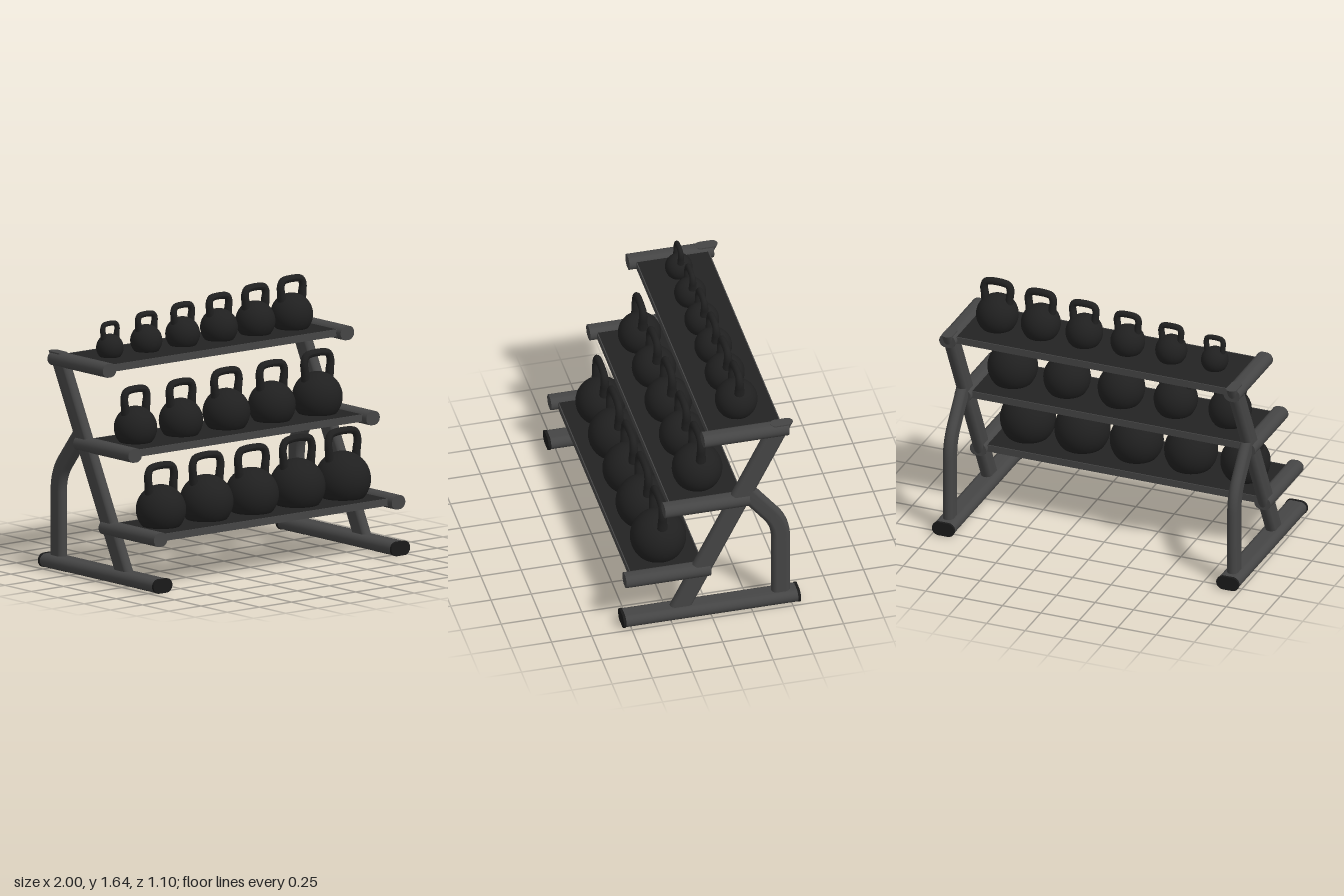
import * as THREE from 'three';

const flat = (name, color) => {
  const m = new THREE.MeshStandardMaterial({ color });
  m.name = name;
  return m;
};

// Sweep a rounded section (half width a in x, half width b across the path)
// along [z, y] points. levelCut keeps the ends horizontal.
function sweep(path, a, b, levelCut = false) {
  const N = 24, pos = [], idx = [], r = Math.min(a, b);
  const rings = path.map(([z, y], i) => {
    const p = path[Math.max(i - 1, 0)], q = path[Math.min(i + 1, path.length - 1)];
    const len = Math.hypot(q[0] - p[0], q[1] - p[1]);
    const az = levelCut ? -1 : -(q[1] - p[1]) / len;
    const ay = levelCut ? 0 : (q[0] - p[0]) / len;
    const ring = [];
    for (let j = 0; j < N; j++) {
      const t = ((j + 0.5) / N) * Math.PI * 2, c = Math.cos(t), s = Math.sin(t);
      const u = c * r + Math.sign(c) * (a - r), v = s * r + Math.sign(s) * (b - r);
      ring.push([u, y + v * ay, z + v * az]);
    }
    return ring;
  });
  rings.forEach((ring, i) => {
    ring.forEach((p) => pos.push(...p));
    if (i === 0) return;
    for (let j = 0; j < N; j++) {
      const k = (j + 1) % N, lo = (i - 1) * N, hi = i * N;
      idx.push(lo + j, lo + k, hi + j, lo + k, hi + k, hi + j);
    }
  });
  // flat end caps with their own vertices
  [rings[0], rings[rings.length - 1]].forEach((ring, end) => {
    const o = pos.length / 3;
    ring.forEach((p) => pos.push(...p));
    for (let j = 1; j < N - 1; j++) idx.push(o, o + (end ? j : j + 1), o + (end ? j + 1 : j));
  });
  const g = new THREE.BufferGeometry();
  g.setAttribute('position', new THREE.Float32BufferAttribute(pos, 3));
  g.setIndex(idx);
  g.computeVertexNormals();
  return g;
}

export function createModel() {
  const model = new THREE.Group();
  model.name = 'kettlebellRack';
  const steel = flat('frame grey', 0x454545);
  const iron = flat('cast iron black', 0x202020);
  const sheet = flat('shelf black', 0x232323);
  const rubber = flat('rubber black', 0x1a1a1a);

  const add = (parent, name, geometry, material, x = 0, y = 0, z = 0) => {
    const m = new THREE.Mesh(geometry, material);
    m.name = name;
    m.position.set(x, y, z);
    parent.add(m);
    return m;
  };

  // Each tier: shelf arm centre height, arm front z, and [ball radius, height] of each bell
  const tiers = [
    { name: 'lower', y: 0.325, front: 0.528, bells: [[0.152, 0.389], [0.163, 0.41], [0.163, 0.41], [0.17, 0.426], [0.17, 0.426]] },
    { name: 'middle', y: 0.805, front: 0.286, bells: [[0.131, 0.342], [0.134, 0.342], [0.144, 0.367], [0.144, 0.367], [0.153, 0.389]] },
    { name: 'upper', y: 1.29, front: 0.043, bells: [[0.083, 0.216], [0.097, 0.242], [0.105, 0.264], [0.114, 0.285], [0.121, 0.306], [0.129, 0.322]] },
  ];

  // Side frames
  const bend = new THREE.QuadraticBezierCurve(
    new THREE.Vector2(-0.44, 0.48), new THREE.Vector2(-0.44, 0.586), new THREE.Vector2(-0.38, 0.663));
  const legPath = [[-0.44, 0.05], ...bend.getPoints(8).map((p) => [p.x, p.y]), [-0.22, 0.865]];
  const baseGeo = sweep([[-0.54, 0.045], [0.54, 0.045]], 0.07, 0.041);
  const capGeo = sweep([[-0.008, 0.045], [0.008, 0.045]], 0.073, 0.044);
  const postGeo = sweep([[0.195, 0.05], [-0.446, 1.334]], 0.034, 0.07, true);
  const legGeo = sweep(legPath, 0.034, 0.058);
  for (const side of [1, -1]) {
    const frame = new THREE.Group();
    frame.name = side > 0 ? 'leftFrame' : 'rightFrame';
    frame.position.x = side * 0.926;
    add(frame, 'baseTube', baseGeo, steel);
    add(frame, 'slantedPost', postGeo, steel);
    add(frame, 'rearLeg', legGeo, steel);
    for (const end of [1, -1]) {
      add(frame, 'endCap', capGeo, rubber, 0, 0, end * 0.542);
      add(frame, 'footPad', new THREE.BoxGeometry(0.05, 0.006, 0.18), rubber, 0, 0.003, end * 0.42);
    }
    for (const t of tiers) {
      add(frame, t.name + 'Arm', sweep([[t.front - 0.526, t.y], [t.front, t.y]], 0.053, 0.043), steel);
    }
    model.add(frame);
  }

  // A kettlebell: flat-bottomed ball with a looped handle
  function kettlebell(r, h) {
    const bell = new THREE.Group();
    bell.name = 'kettlebell';
    const cy = 0.65 * r, low = Math.asin(-0.65), profile = [new THREE.Vector2(0, 0)];
    for (let i = 0; i <= 20; i++) {
      const a = low + (Math.PI / 2 - low) * (i / 20);
      profile.push(new THREE.Vector2(Math.max(0, r * Math.cos(a)), cy + r * Math.sin(a)));
    }
    add(bell, 'ball', new THREE.LatheGeometry(profile, 36), iron);

    const tube = Math.min(0.023, 0.19 * r), top = h - tube, w = 0.67 * r;
    const foot = cy + 0.62 * r, span = top - foot;
    const half = [[0.6 * r, foot], [0.63 * r, foot + span * 0.35], [w, foot + span * 0.68], [0.85 * w, foot + span * 0.93], [0.5 * w, top]];
    const pts = [
      ...half.map(([x, y]) => new THREE.Vector3(-x, y, 0)),
      ...half.reverse().map(([x, y]) => new THREE.Vector3(x, y, 0)),
    ];
    const handle = new THREE.TubeGeometry(new THREE.CatmullRomCurve3(pts), 40, tube, 12);
    // thicken the handle front to back towards the ball
    const p = handle.attributes.position;
    for (let i = 0; i < p.count; i++) {
      const k = THREE.MathUtils.clamp((top - p.getY(i)) / span, 0, 1);
      p.setZ(i, p.getZ(i) * (0.95 + 0.5 * k));
    }
    handle.computeVertexNormals();
    add(bell, 'handle', handle, iron);
    return bell;
  }

  // Shelves with edge strips, and their kettlebells
  for (const t of tiers) {
    const shelf = new THREE.Group();
    shelf.name = t.name + 'Shelf';
    shelf.position.set(0, t.y, t.front - 0.268);
    add(shelf, 'shelfPlate', new THREE.BoxGeometry(1.77, 0.042, 0.442), sheet, 0, 0.001);
    for (const s of [1, -1]) {
      add(shelf, 'edgeStrip', new THREE.BoxGeometry(1.77, 0.044, 0.006), steel, 0, 0.001, s * 0.223);
    }
    t.bells.forEach(([r, h], i) => {
      const bell = kettlebell(r, h);
      bell.position.set(-0.708 + (1.416 * i) / (t.bells.length - 1), 0.022, 0.005);
      shelf.add(bell);
    });
    model.add(shelf);
  }
  return model;
}
